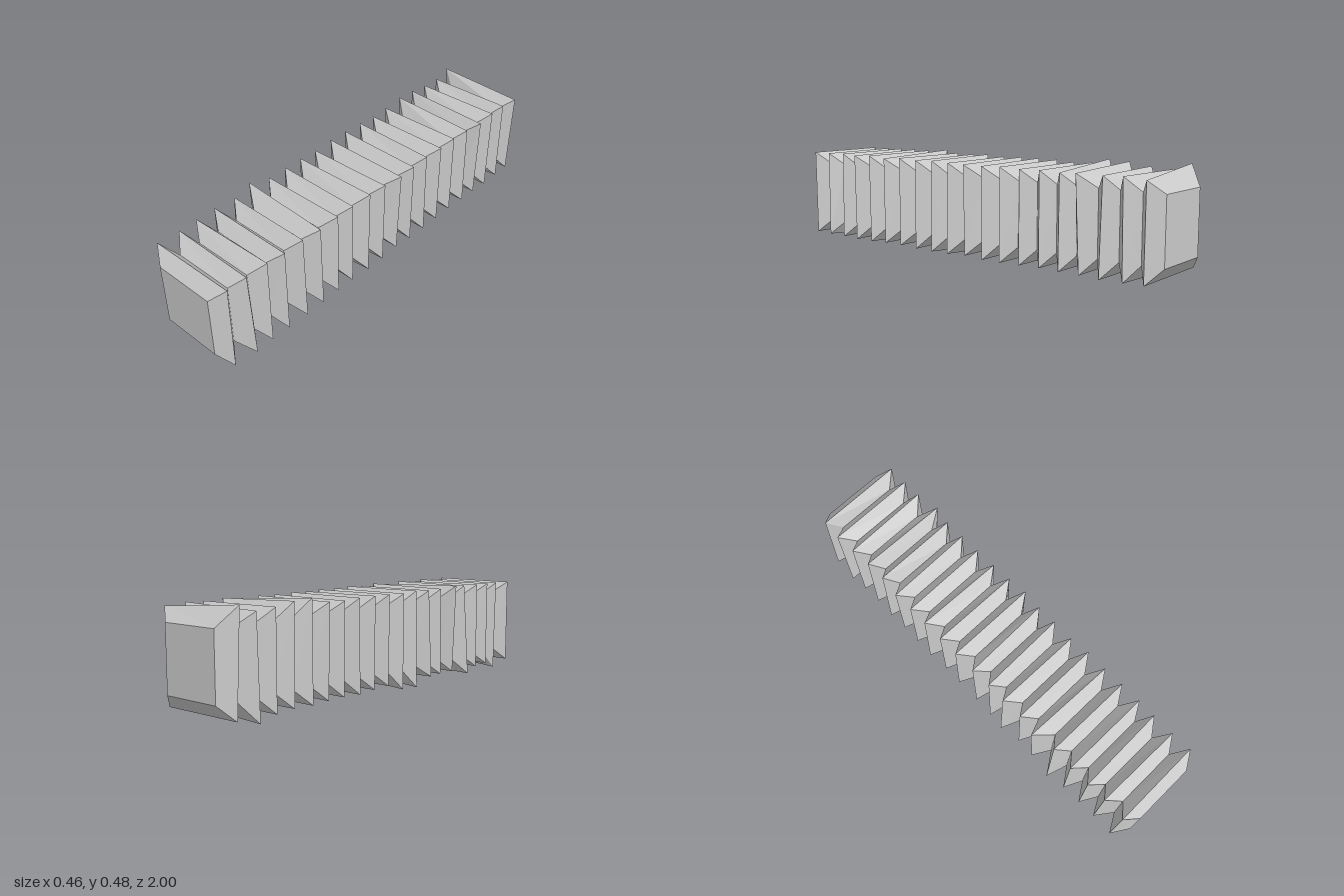
import * as THREE from 'three';

const FOLDS = 20;
const PITCH = 2 / FOLDS;

// Corners that sag or stick out: fold index -> corner (0 BL, 1 BR, 2 TR, 3 TL) -> [x, y, z shift]
const BENT = {
  1: { 0: [-0.2, 0.005, -0.01], 1: [0.222, 0.04, -0.01] },
  4: { 0: [-0.225, 0.012, 0.01] },
  5: { 3: [-0.23, 0.46, -0.01] },
  7: { 0: [-0.222, 0.04, 0] },
  8: { 0: [-0.205, 0, 0.01] },
  9: { 0: [-0.2, 0.005, 0.01] },
  10: { 2: [0.225, 0.45, 0] },
  15: { 3: [-0.2, 0.473, 0.01] },
  16: { 2: [0.228, 0.453, 0.01], 3: [-0.2, 0.468, 0.01] },
  18: { 0: [-0.21, 0.012, 0.01] },
  19: { 3: [-0.205, 0.477, 0.02] },
};

// Rectangle ring, counter-clockwise seen from the front
const ring = (x0, x1, y0, y1, z) => [[x0, y0, z], [x1, y0, z], [x1, y1, z], [x0, y1, z]];
const valley = (z) => ring(-0.14, 0.15, 0.1, 0.39, z);

function meshFrom(name, quads, material) {
  const positions = quads.flatMap(([a, b, c, d]) => [a, b, c, a, c, d].flat());
  const geometry = new THREE.BufferGeometry();
  geometry.setAttribute('position', new THREE.Float32BufferAttribute(positions, 3));
  geometry.computeVertexNormals();
  const mesh = new THREE.Mesh(geometry, material);
  mesh.name = name;
  return mesh;
}

export function createModel() {
  const group = new THREE.Group();
  group.name = 'bellows';
  const material = new THREE.MeshStandardMaterial({ color: 0xcccccc, flatShading: true });

  let seed = 11;
  const wobble = (amount) => {
    seed = (seed * 16807) % 2147483647;
    return (seed / 2147483647 - 0.5) * 2 * amount;
  };

  // Alternate narrow valleys and wide, slightly uneven ridges
  const rings = [valley(1)];
  for (let i = 0; i < FOLDS; i++) {
    const z = 1 - PITCH * (i + 0.5);
    const ridge = ring(-0.207, 0.214, 0.036, 0.45, z).map(([x, y, cz], corner) => {
      const bent = BENT[i]?.[corner];
      if (bent) return [bent[0], bent[1], cz + bent[2]];
      return [x + wobble(0.004), y + wobble(0.004), cz + wobble(0.006)];
    });
    rings.push(ridge, valley(1 - PITCH * (i + 1)));
  }

  // Pleated skin between neighbouring rings
  const skin = [];
  for (let k = 0; k < rings.length - 1; k++) {
    for (let j = 0; j < 4; j++) {
      const n = (j + 1) % 4;
      skin.push([rings[k][j], rings[k + 1][j], rings[k + 1][n], rings[k][n]]);
    }
  }
  group.add(meshFrom('pleatedSkin', skin, material));

  // Flat ends
  group.add(meshFrom('frontEnd', [rings[0]], material));
  group.add(meshFrom('backEnd', [[...rings[rings.length - 1]].reverse()], material));
  return group;
}
